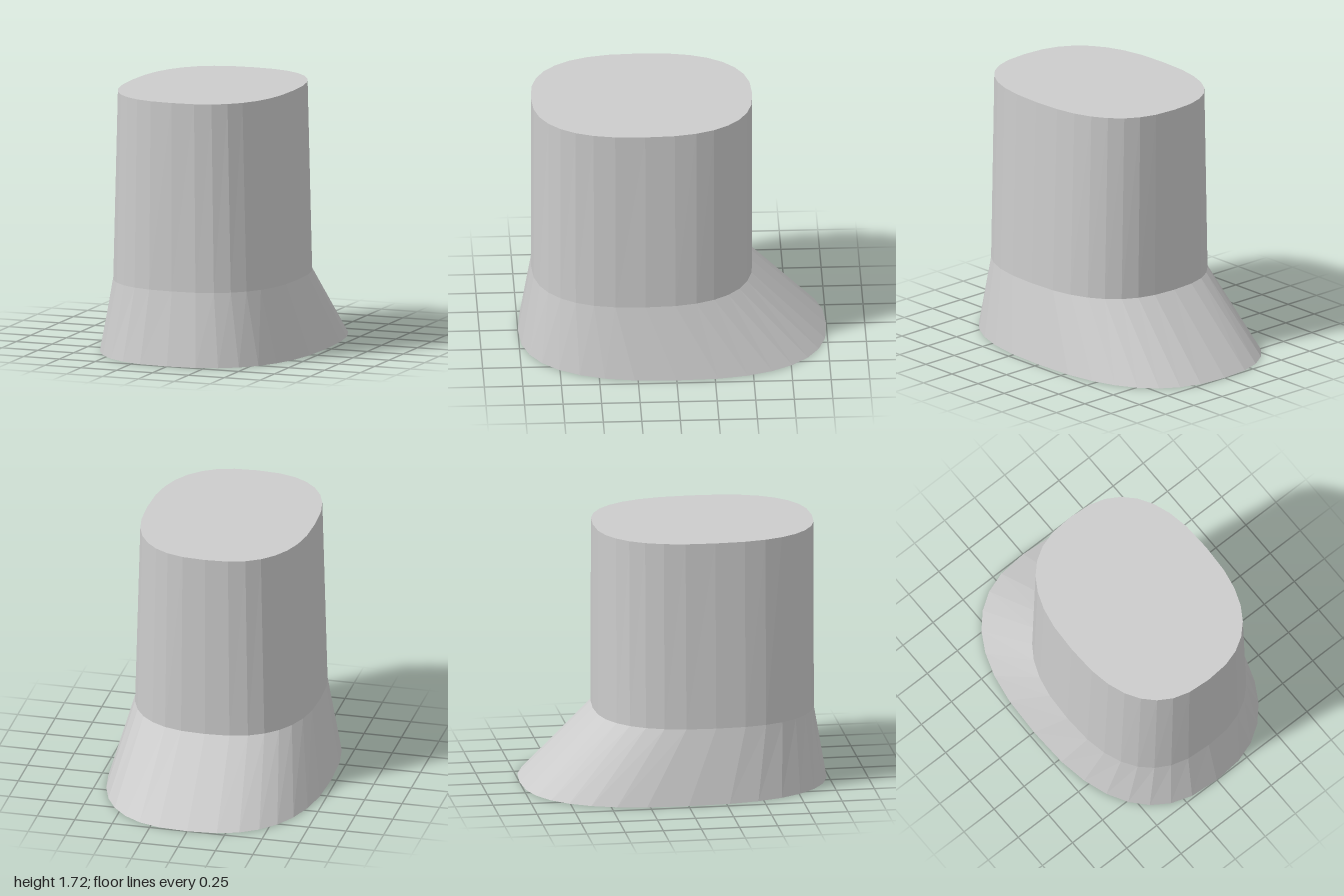
import * as THREE from 'three';

// Rounded-oval cross-sections, listed from the floor up
const SECTIONS = [
  { y: 0, rx: 0.716, rz: 1, z: 0 },
  { y: 0.48, rx: 0.597, rz: 0.718, z: 0.198 },
  { y: 1.72, rx: 0.56, rz: 0.718, z: 0.198 },
];
const ROUNDNESS = 0.8; // below 1 makes the oval fuller than an ellipse

const soften = (v) => Math.sign(v) * Math.abs(v) ** ROUNDNESS;

export function createModel() {
  const grey = new THREE.MeshStandardMaterial({ color: 0xcccccc });
  grey.flatShading = true;

  // Closed cylinder whose three rings are moved onto the sections
  const geometry = new THREE.CylinderGeometry(1, 1, 2, 32, 2);
  const pos = geometry.attributes.position;
  for (let i = 0; i < pos.count; i++) {
    const s = SECTIONS[Math.round(pos.getY(i)) + 1];
    const x = Math.abs(pos.getX(i)) < 1e-6 ? 0 : pos.getX(i);
    const z = Math.abs(pos.getZ(i)) < 1e-6 ? 0 : pos.getZ(i);
    pos.setXYZ(i, s.rx * soften(x), s.y, s.z + s.rz * soften(z));
  }
  geometry.computeVertexNormals();

  const body = new THREE.Mesh(geometry, grey);
  body.name = 'flaredColumn';
  const model = new THREE.Group();
  model.name = 'flaredPedestal';
  model.add(body);
  return model;
}
